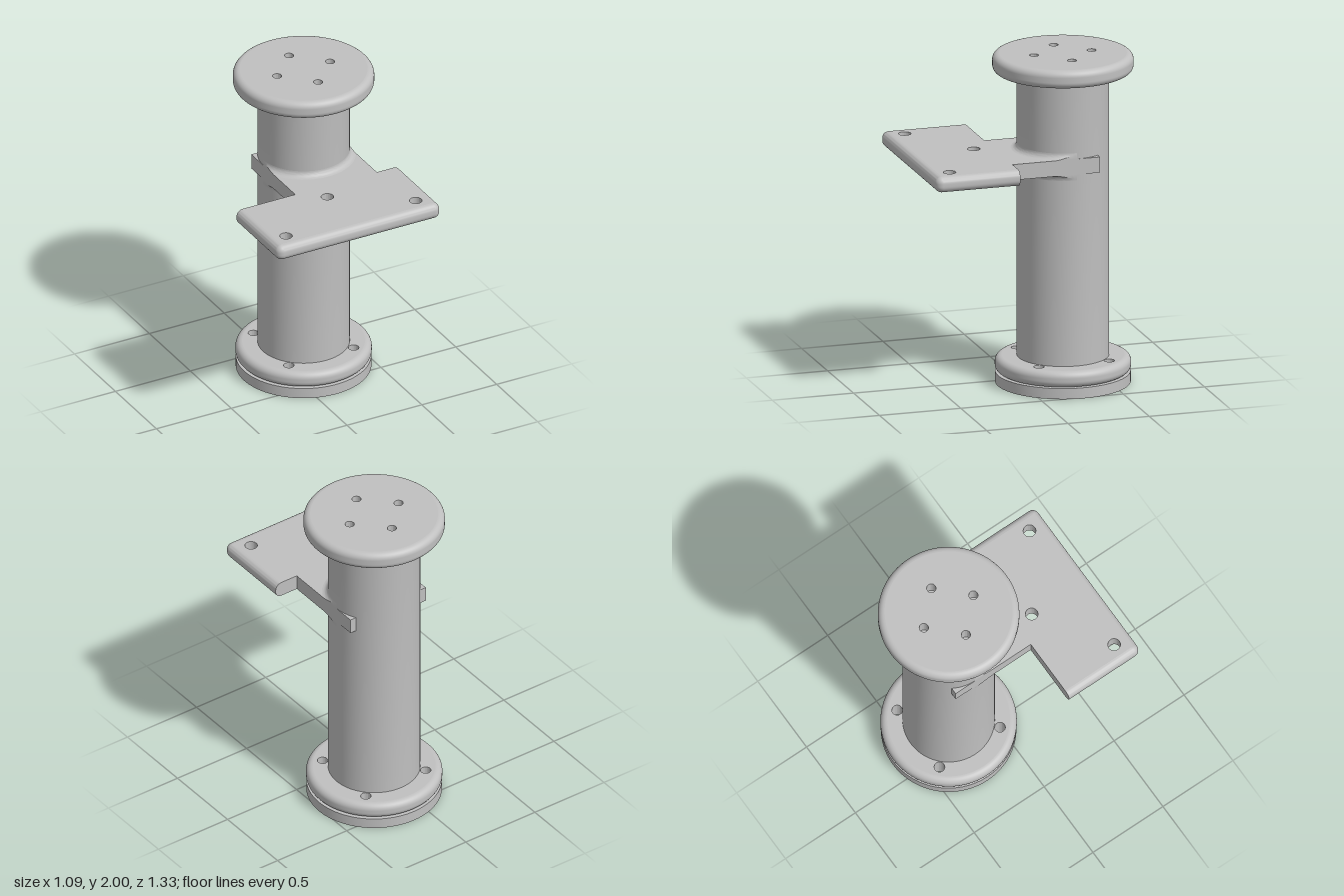
import * as THREE from 'three';
import { toCreasedNormals } from 'three/addons/utils/BufferGeometryUtils.js';

const AX = 0.12, AZ = -0.25;      // column axis
const R = 0.271;                  // column radius
const ROUND = 0.04;               // edge rounding
const SEG = 96;
const V = (x, y) => new THREE.Vector2(x, y);

export function createModel() {
  const model = new THREE.Group();
  const grey = new THREE.MeshStandardMaterial({ color: 0xc0c0c0 });

  function add(name, geometry, parent = model) {
    const mesh = new THREE.Mesh(geometry, grey);
    mesh.name = name;
    parent.add(mesh);
    return mesh;
  }

  // Rounded edge section, from the bottom face out and up to the top face
  function edgeProfile(r, y0, y1, b = ROUND, steps = 8) {
    const pts = [V(r, y0)];
    for (const [cy, start] of [[y0 + b, -Math.PI / 2], [y1 - b, 0]])
      for (let i = 0; i <= steps; i++) {
        const a = start + (i / steps) * Math.PI / 2;
        pts.push(V(r + b * Math.cos(a), cy + b * Math.sin(a)));
      }
    pts.push(V(r, y1));
    return pts.filter((p, i) => i === 0 || p.distanceTo(pts[i - 1]) > 1e-5);
  }

  // Flat slab lying between two heights; shape y runs along world z
  function slab(shape, holes, y0, y1) {
    for (const [x, z, r] of holes) shape.holes.push(new THREE.Path().absarc(x, z, r, 0, Math.PI * 2, true));
    const g = new THREE.ExtrudeGeometry(shape, { depth: y1 - y0, bevelEnabled: false, curveSegments: 48 });
    g.rotateX(Math.PI / 2).translate(0, y1, 0);
    return toCreasedNormals(g, 0.6);
  }

  // Round flange with holes, optionally with a rounded rim
  function disc(name, radius, y0, y1, holes, rounded) {
    const group = new THREE.Group();
    group.name = name;
    group.position.set(AX, 0, AZ);
    const core = rounded ? radius - ROUND : radius;
    const shape = new THREE.Shape().absarc(0, 0, core, 0, Math.PI * 2, false);
    add(name + 'Core', slab(shape, holes, y0, y1), group);
    if (rounded) add(name + 'Rim', new THREE.LatheGeometry(edgeProfile(core, y0, y1), SEG), group);
    model.add(group);
  }

  // Four holes evenly spaced on a circle
  const ring = (dist, r, offset) => [0, 1, 2, 3].map((i) => {
    const a = offset + i * Math.PI / 2;
    return [dist * Math.cos(a), dist * Math.sin(a), r];
  });

  // Base plate, lower flange and top disc
  const baseHoles = [...ring(0.306, 0.031, Math.PI / 4), [0, 0, 0.062]];
  disc('basePlate', 0.398, 0, 0.065, baseHoles, false);
  disc('lowerFlange', 0.4, 0.065, 0.163, baseHoles, true);
  disc('topDisc', 0.415, 1.89, 2, ring(0.177, 0.027, 0), true);

  // Column, flaring into the underside of the top disc
  const colPts = [V(0, 0.16), V(R, 0.16)];
  const flare = 0.035;
  for (let i = 0; i <= 8; i++) {
    const a = (i / 8) * Math.PI / 2;
    colPts.push(V(R + flare * (1 - Math.cos(a)), 1.89 - flare + flare * Math.sin(a)));
  }
  colPts.push(V(0, 1.89));
  const column = add('column', toCreasedNormals(new THREE.LatheGeometry(colPts, SEG), 0.7));
  column.position.set(AX, 0, AZ);

  // Bracket: wide plate with a narrower yoke reaching around the column
  const Y0 = 1.33, Y1 = 1.425, HALF = 0.2725, CX = 0.505, BACK = 0.147, FRONT = 0.62;
  const bracket = new THREE.Group();
  bracket.name = 'bracket';
  model.add(bracket);
  const outline = new THREE.Shape([
    V(AX - HALF, -0.39), V(AX + HALF, -0.39), V(AX + HALF, BACK), V(CX, BACK),
    V(CX, FRONT), V(-CX, FRONT), V(-CX, BACK), V(AX - HALF, BACK),
  ]);
  const boltHoles = [[0, 0.26, 0.037], [-0.433, 0.547, 0.037], [0.433, 0.547, 0.037]];
  add('bracketPlate', slab(outline, boltHoles, Y0, Y1), bracket);

  // Rounded edges on the two sides and the front, with rounded corners
  const section = new THREE.Shape(edgeProfile(0, Y0, Y1));
  function edge(name, length, x, z, turn) {
    const g = new THREE.ExtrudeGeometry(section, { depth: length, bevelEnabled: false });
    const mesh = add(name, toCreasedNormals(g, 0.6), bracket);
    mesh.position.set(x, 0, z);
    mesh.rotation.y = turn;
  }
  edge('leftEdge', FRONT - BACK, CX, BACK, 0);
  edge('rightEdge', FRONT - BACK, -CX, FRONT, Math.PI);
  edge('frontEdge', CX * 2, CX, FRONT, -Math.PI / 2);
  for (const s of [1, -1]) {
    const g = new THREE.LatheGeometry(edgeProfile(0, Y0, Y1), 8, s > 0 ? 0 : -Math.PI / 2, Math.PI / 2);
    add(s > 0 ? 'leftCorner' : 'rightCorner', g, bracket).position.set(s * CX, 0, FRONT);
  }

  // Fillets between column and yoke, trimmed flush with the yoke sides
  function fillet(name, y, dir) {
    const f = 0.036, steps = 8, pts = [V(R + f, y)];
    for (let i = 0; i <= steps; i++) pts.push(V(R + f * (1 - Math.sin((i / steps) * Math.PI / 2)), y));
    if (dir < 0) pts.reverse();
    const n = pts.length, foot = dir > 0 ? 0 : n - 1;
    const g = new THREE.LatheGeometry(pts, 64, -Math.PI / 2, Math.PI);
    const p = g.attributes.position;
    for (let i = 0; i < p.count; i++) {
      const x = p.getX(i), z = p.getZ(i), r0 = Math.hypot(x, z);
      const r = Math.min(r0, HALF * r0 / Math.max(Math.abs(x), 1e-6));
      const d = R + f - r;
      const rise = i % n === foot ? 0 : f - Math.sqrt(Math.max(0, f * f - d * d));
      p.setXYZ(i, x * r / r0, y + dir * rise, z * r / r0);
    }
    add(name, toCreasedNormals(g, 0.6), bracket).position.set(AX, 0, AZ);
  }
  fillet('upperFillet', Y1, 1);
  fillet('lowerFillet', Y0, -1);

  return model;
}
